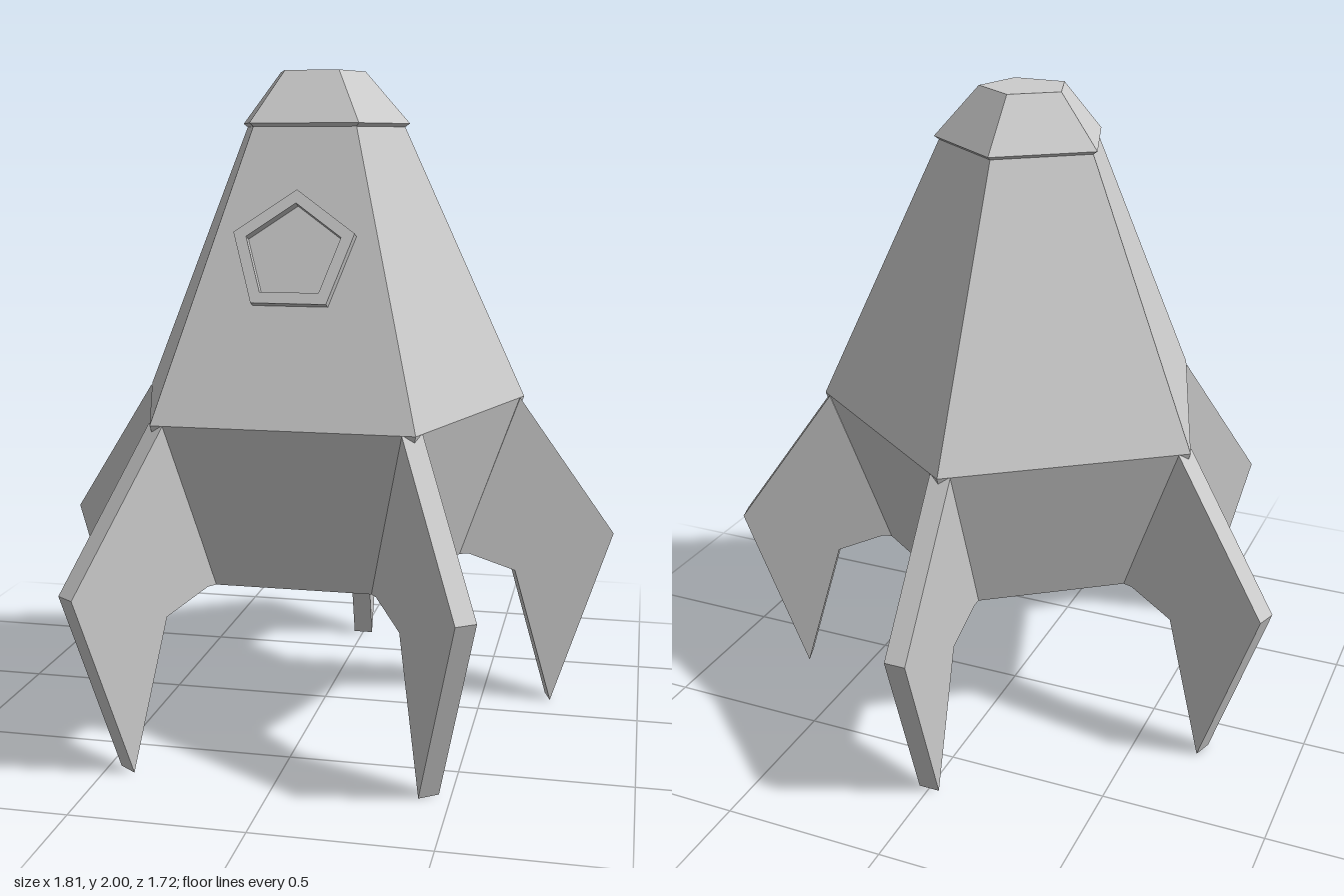
import * as THREE from 'three';

const SIDES = 5;
const STEP = (Math.PI * 2) / SIDES;
const CENTRE_Z = 0.077;
const vec = ([x, y]) => new THREE.Vector2(x, y);

export function createModel() {
  const model = new THREE.Group();
  model.name = 'rocket';
  const material = new THREE.MeshStandardMaterial({ color: 0xcccccc, flatShading: true });

  function addMesh(name, geometry, parent) {
    const mesh = new THREE.Mesh(geometry, material);
    mesh.name = name;
    parent.add(mesh);
    return mesh;
  }

  // Five-sided body of revolution with one corner pointing straight back
  const body = new THREE.Group();
  body.name = 'body';
  body.position.z = CENTRE_Z;
  model.add(body);
  const turned = (points) => new THREE.LatheGeometry(points.map(vec), SIDES, Math.PI);

  const waist = { r: 0.647, y: 1.0 };
  const neck = { r: 0.26, y: 1.836 };
  addMesh('hull', turned([[0, 0.5], [0.465, 0.5], [waist.r, waist.y], [neck.r, neck.y]]), body);

  // Nose cap overhanging the hull slightly
  addMesh('noseCap', turned([[neck.r, neck.y], [0.275, 1.846], [0.138, 2], [0, 2]]), body);

  // Landing fins, one on each corner
  const thickness = 0.065;
  const finShape = new THREE.Shape([
    [0.627, 1.0], [0.44, 0.5], [0.472, 0.5], [0.622, 0.44], [0.747, 0], [0.942, 0.553],
  ].map(vec));
  const finGeometry = new THREE.ExtrudeGeometry(finShape, { depth: thickness, bevelEnabled: false });
  finGeometry.translate(0, 0, -thickness / 2);
  for (let i = 0; i < SIDES; i++) {
    const fin = addMesh('fin' + (i + 1), finGeometry, body);
    fin.rotation.y = Math.PI / 2 + i * STEP;
  }

  // Pentagonal window frame lying on the sloping front face
  const pentagon = (r) => Array.from({ length: SIDES }, (_, i) =>
    new THREE.Vector2(-r * Math.sin(i * STEP), r * Math.cos(i * STEP)));
  const frameShape = new THREE.Shape(pentagon(0.185));
  frameShape.holes.push(new THREE.Path(pentagon(0.145)));
  const frame = addMesh('windowFrame',
    new THREE.ExtrudeGeometry(frameShape, { depth: 0.04, bevelEnabled: false }), body);
  frame.geometry.translate(0, 0, -0.01);

  const apothem = Math.cos(Math.PI / SIDES);
  const slope = ((waist.r - neck.r) * apothem) / (neck.y - waist.y);
  const windowY = 1.475;
  frame.position.set(0, windowY, waist.r * apothem - slope * (windowY - waist.y));
  frame.rotation.x = -Math.atan(slope);

  return model;
}
